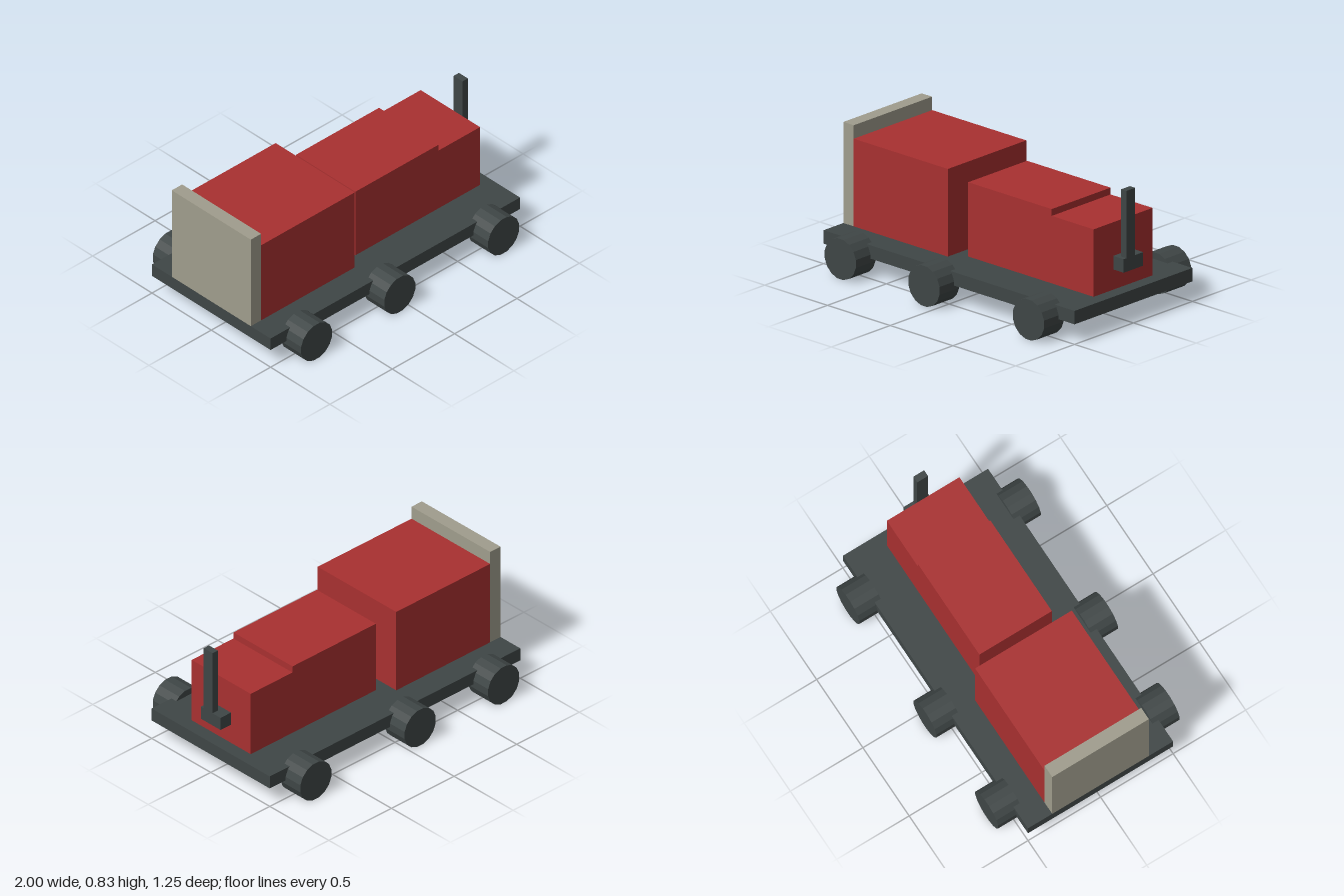
import * as THREE from 'three';

export function createModel() {
  const model = new THREE.Group();
  model.name = 'flatWagonLocomotive';

  const material = (name, color) => {
    const m = new THREE.MeshStandardMaterial({ color, flatShading: true });
    m.name = name;
    return m;
  };
  const red = material('red', 0xa83030);
  const charcoal = material('charcoal', 0x3f4646);
  const stone = material('stone', 0xa09d8d);

  // Box given by its lower and upper corner
  const box = (name, mat, [x0, y0, z0], [x1, y1, z1]) => {
    const mesh = new THREE.Mesh(new THREE.BoxGeometry(x1 - x0, y1 - y0, z1 - z0), mat);
    mesh.position.set((x0 + x1) / 2, (y0 + y1) / 2, (z0 + z1) / 2);
    mesh.name = name;
    model.add(mesh);
  };

  // Chassis
  box('deck', charcoal, [-1, 0.125, -0.5], [1, 0.208, 0.5]);

  // Rear body and its end wall
  box('rearBody', red, [-0.917, 0.208, -0.333], [-0.167, 0.75, 0.333]);
  box('endWall', stone, [-1, 0.208, -0.333], [-0.917, 0.833, 0.333]);

  // Stepped hood, extruded across the width
  const profile = new THREE.Shape([
    [-0.083, 0.208], [0.917, 0.208], [0.917, 0.625],
    [0.583, 0.625], [0.583, 0.667], [-0.083, 0.667],
  ].map(([x, y]) => new THREE.Vector2(x, y)));
  const hoodGeometry = new THREE.ExtrudeGeometry(profile, { depth: 0.5, bevelEnabled: false });
  hoodGeometry.translate(0, 0, -0.25);
  const hood = new THREE.Mesh(hoodGeometry, red);
  hood.name = 'hood';
  model.add(hood);

  // Exhaust bracket and slightly offset stack
  box('stackBracket', charcoal, [0.917, 0.333, -0.083], [1, 0.417, 0.083]);
  box('stack', charcoal, [0.958, 0.417, -0.015], [1, 0.833, 0.06]);

  // Three pairs of wheels, with a flat facet resting on the ground
  const wheelGeometry = new THREE.CylinderGeometry(0.1265, 0.1265, 0.167, 16, 1);
  wheelGeometry.rotateY(Math.PI / 16).rotateX(Math.PI / 2);
  for (const x of [-0.75, -0.083, 0.75]) {
    for (const side of [-1, 1]) {
      const wheel = new THREE.Mesh(wheelGeometry, charcoal);
      wheel.position.set(x, 0.125, side * 0.5415);
      wheel.name = side > 0 ? 'frontWheel' : 'backWheel';
      model.add(wheel);
    }
  }

  return model;
}
